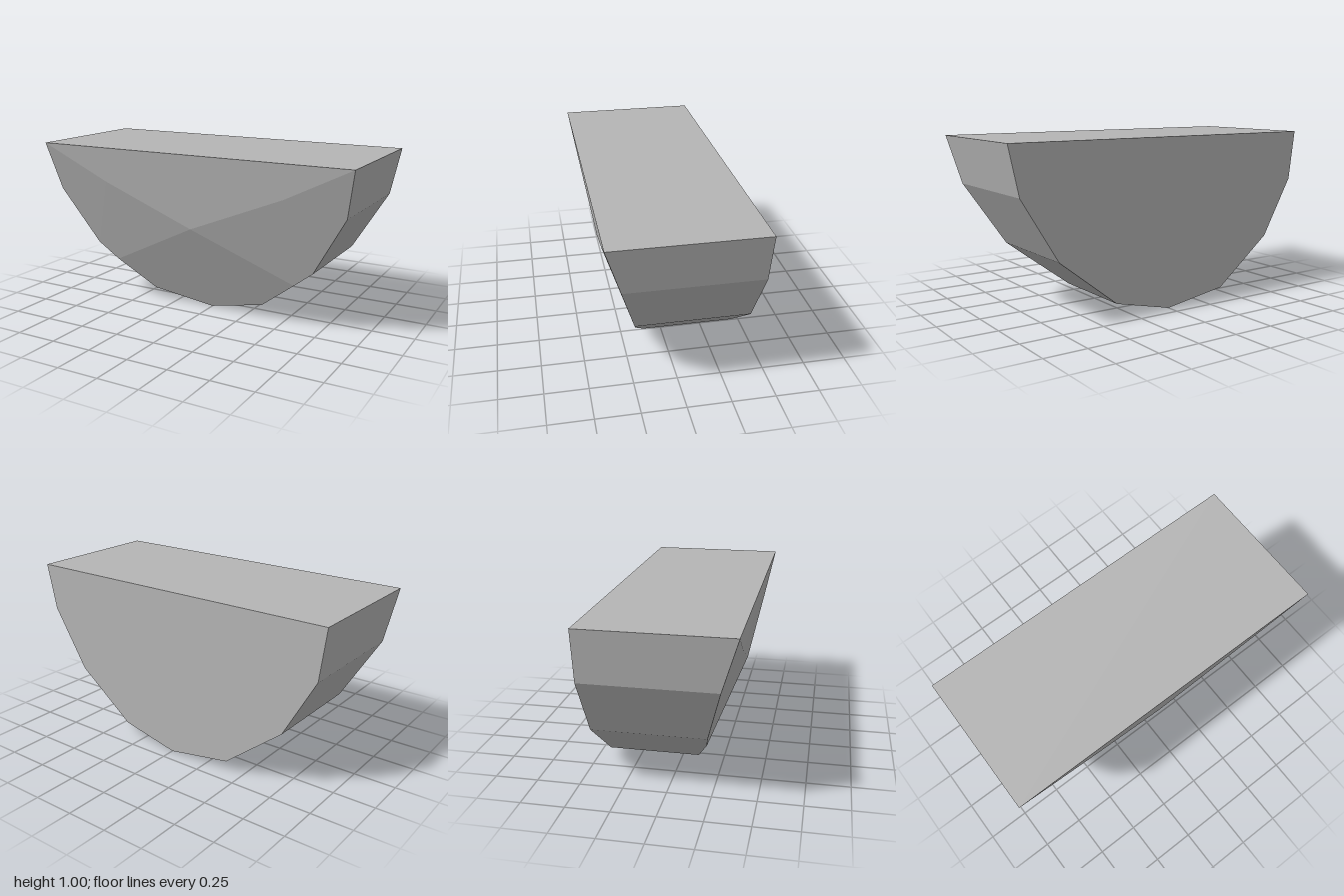
import * as THREE from 'three';
import { ConvexGeometry } from 'three/addons/geometries/ConvexGeometry.js';

const BACK = -0.418;

// Half-round outline, from the left rim around the bottom to the right rim
const OUTLINE = [
  [-1, 1], [-0.96, 0.7], [-0.76, 0.35], [-0.4, 0.065], [0, 0],
  [0.36, 0.083], [0.72, 0.363], [0.94, 0.722], [1, 1],
];

// The front is cut by sloping planes: top, bottom and one on each side
function frontZ(x, y) {
  const dy = y - 0.555;
  return Math.min(
    0.348 + 0.157 * dy,
    0.348 + 0.47 * dy,
    0.348 - 0.0719 * Math.abs(x) + 0.3189 * dy,
  );
}

export function createModel() {
  const group = new THREE.Group();
  group.name = 'facetedHalfRoundBlock';

  const stone = new THREE.MeshStandardMaterial({ color: 0xb4b4b4 });
  stone.name = 'stone grey';

  const points = [];
  for (const [x, y] of OUTLINE) {
    points.push(new THREE.Vector3(x, y, BACK));
    points.push(new THREE.Vector3(x, y, frontZ(x, y)));
  }
  // Front facet corners: lower ridge ends, apex, and bends in the upper ridges
  for (const [x, y] of [[-0.63, 0.247], [0.6, 0.27], [0, 0.555]]) {
    points.push(new THREE.Vector3(x, y, frontZ(x, y)));
  }
  points.push(new THREE.Vector3(-0.57, 0.79, 0.385), new THREE.Vector3(0.6, 0.8, 0.3865));

  const block = new THREE.Mesh(new ConvexGeometry(points), stone);
  block.name = 'block';
  group.add(block);
  return group;
}
